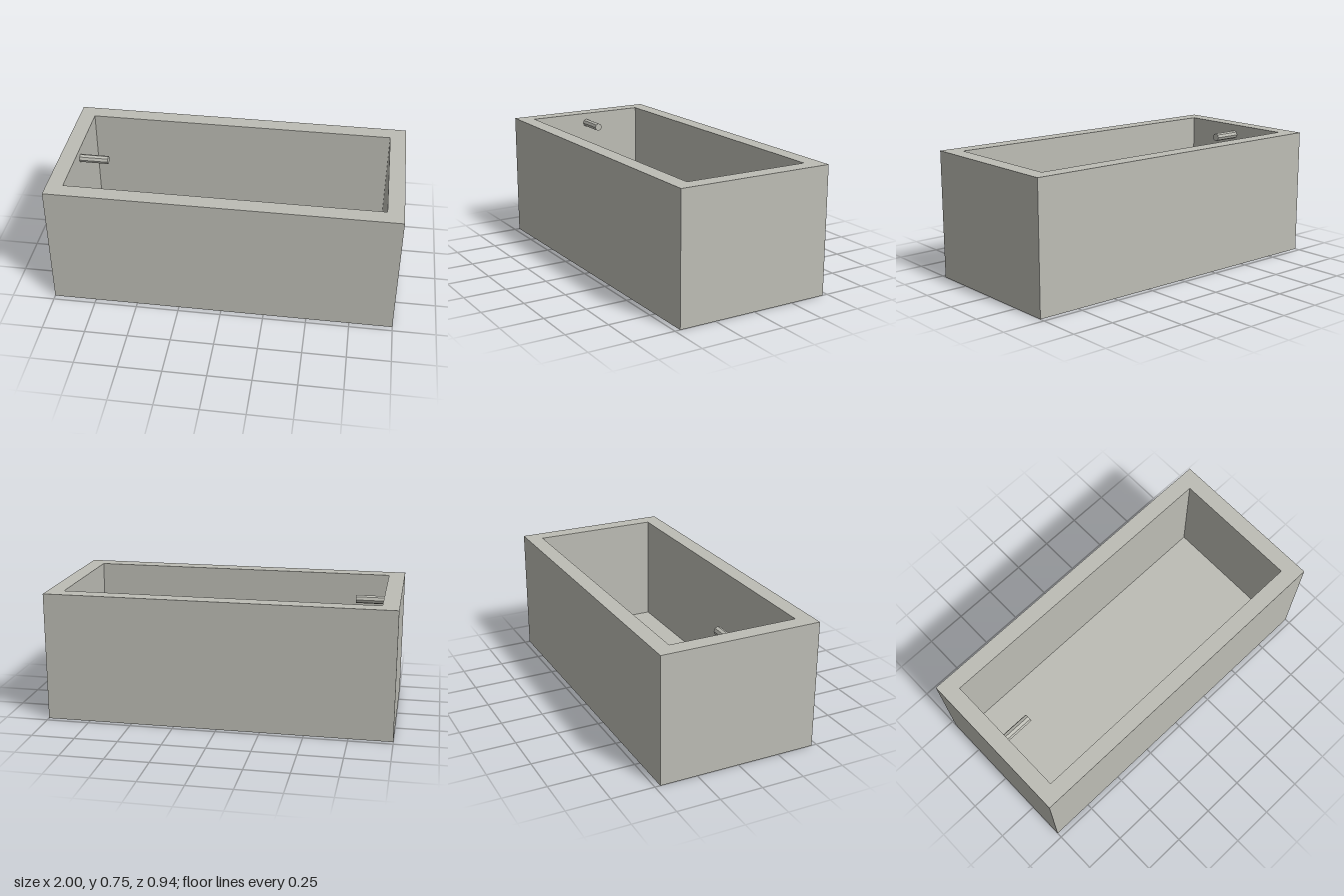
import * as THREE from 'three';

const LENGTH = 2, WIDTH = 0.9375, HEIGHT = 0.75, WALL = 0.094;

// Closed rectangular outline centred on the origin
function rectangle(Type, w, d) {
  const r = new Type();
  r.moveTo(-w / 2, -d / 2);
  r.lineTo(w / 2, -d / 2);
  r.lineTo(w / 2, d / 2);
  r.lineTo(-w / 2, d / 2);
  r.closePath();
  return r;
}

export function createModel() {
  const stone = new THREE.MeshStandardMaterial({ color: 0xbdbdb5 });
  stone.name = 'stone';
  const group = new THREE.Group();
  group.name = 'trough';

  function add(name, geometry, x, y, z) {
    const mesh = new THREE.Mesh(geometry, stone);
    mesh.name = name;
    mesh.position.set(x, y, z);
    group.add(mesh);
  }

  const innerLength = LENGTH - 2 * WALL, innerWidth = WIDTH - 2 * WALL;

  // Four walls as one hollow rectangle
  const outline = rectangle(THREE.Shape, LENGTH, WIDTH);
  outline.holes.push(rectangle(THREE.Path, innerLength, innerWidth));
  const walls = new THREE.ExtrudeGeometry(outline, { depth: HEIGHT, bevelEnabled: false });
  walls.rotateX(-Math.PI / 2);
  add('walls', walls, 0, 0, 0);

  // Floor slab fitted between the walls
  add('floor', new THREE.BoxGeometry(innerLength, WALL, innerWidth), 0, WALL / 2, 0);

  // Eight-sided inlet pipe on the right end wall
  const pipeLength = 0.17;
  const pipe = new THREE.CylinderGeometry(0.024, 0.024, pipeLength, 8).toNonIndexed();
  pipe.rotateZ(Math.PI / 2);
  pipe.computeVertexNormals();
  add('inletPipe', pipe, -innerLength / 2 + pipeLength / 2, 0.687, 0);

  return group;
}
